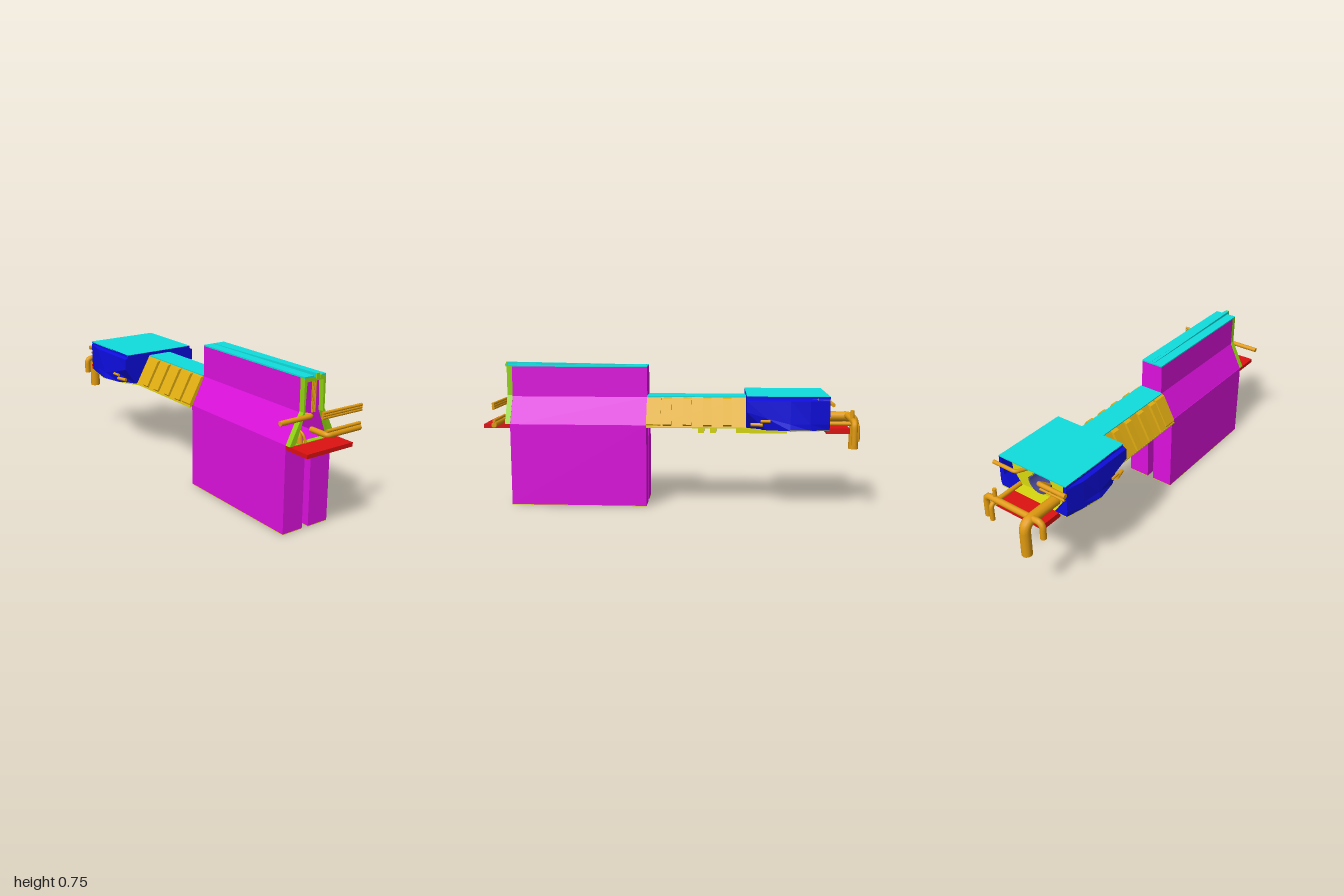
import * as THREE from 'three';

const CX = -0.021; // centre line of the hull
const mats = {};
const paint = (color) => (mats[color] ??= new THREE.MeshStandardMaterial({ color, side: THREE.DoubleSide }));
const MAGENTA = 0xdd11dd, CYAN = 0x11dddd, BLUE = 0x0d0ddd, ORANGE = 0xe09a10;
const GOLD = 0xe0ac12, RED = 0xdd1111, LIME = 0x93d411, YELLOW = 0xd8d80f, SLATE = 0x484898;

export function createModel() {
  const model = new THREE.Group();

  const add = (name, geometry, color) => {
    const mesh = new THREE.Mesh(geometry, paint(color));
    mesh.name = name;
    model.add(mesh);
    return mesh;
  };
  // Box given by its limits on each axis
  const box = (name, color, x0, x1, y0, y1, z0, z1) =>
    add(name, new THREE.BoxGeometry(x1 - x0, y1 - y0, z1 - z0), color)
      .position.set((x0 + x1) / 2, (y0 + y1) / 2, (z0 + z1) / 2);
  // Mirrors a half profile of [offset, y] points about the centre line
  const mirrored = (half) => [
    ...half.map(([x, y]) => new THREE.Vector2(CX + x, y)),
    ...half.slice().reverse().map(([x, y]) => new THREE.Vector2(CX - x, y)),
  ];
  const section = (half, hole) => {
    const shape = new THREE.Shape(mirrored(half));
    if (hole) shape.holes.push(hole);
    return shape;
  };
  const prism = (name, color, shape, z0, z1) =>
    add(name, new THREE.ExtrudeGeometry(shape, { depth: z1 - z0, bevelEnabled: false, curveSegments: 16 }), color)
      .position.set(0, 0, z0);
  const bore = () => new THREE.Path().absarc(CX, 0.51, 0.056, 0, Math.PI * 2, true);
  // Pipe through corner points, with a rounded bend at every corner and closed ends
  const pipe = (name, r, corners, bend = 0.03, color = ORANGE) => {
    const p = corners.map((c) => new THREE.Vector3(...c));
    const path = new THREE.CurvePath();
    let from = p[0];
    for (let i = 1; i < p.length - 1; i++) {
      const a = p[i].clone().add(p[i - 1].clone().sub(p[i]).setLength(bend));
      const b = p[i].clone().add(p[i + 1].clone().sub(p[i]).setLength(bend));
      path.add(new THREE.LineCurve3(from, a));
      path.add(new THREE.QuadraticBezierCurve3(a, p[i], b));
      from = b;
    }
    const last = p[p.length - 1];
    path.add(new THREE.LineCurve3(from, last));
    add(name, new THREE.TubeGeometry(path, p.length > 2 ? 40 : 1, r, 12), color);
    [[p[0], p[1]], [last, p[p.length - 2]]].forEach(([end, next]) => {
      const cap = add(name + 'End', new THREE.CircleGeometry(r, 12), color);
      cap.position.copy(end);
      cap.lookAt(end.clone().multiplyScalar(2).sub(next));
    });
  };

  // Twin deep walls with their soles
  [[-0.157, -0.04], [-0.003, 0.115]].forEach(([x0, x1]) => {
    box('wall', MAGENTA, x0, x1, 0.003, 0.435, 0.14, 0.86);
    box('wallSole', YELLOW, x0, x1, 0, 0.003, 0.14, 0.86);
  });
  box('wallBridge', MAGENTA, -0.045, 0.002, 0.415, 0.435, 0.14, 0.86);

  // Hollow sloping shoulder and tower above the walls
  const tunnel = new THREE.Path(mirrored([[0.1, 0.436], [0.055, 0.568]]).reverse());
  prism('tower', MAGENTA, section([[0.136, 0.43], [0.062, 0.575], [0.062, 0.733]], tunnel), 0.14, 0.86);

  // Front frame around the tunnel mouth
  const frame = section([
    [0.136, 0.435], [0.062, 0.58], [0.062, 0.735],
  ], new THREE.Path(mirrored([[0.103, 0.437], [0.054, 0.565], [0.047, 0.715]]).reverse()));
  prism('frontFrame', LIME, frame, 0.86, 0.888);

  // Tower roof and its long rails
  box('towerRoof', CYAN, CX - 0.062, CX + 0.062, 0.733, 0.74, 0.14, 0.888);
  [[-0.031, -0.013, 0.754], [-0.011, 0, 0.745]].forEach(([x0, x1, top]) => {
    const rail = new THREE.Shape();
    rail.moveTo(-0.9, top).lineTo(-0.15, 0.742).lineTo(-0.15, 0.735).lineTo(-0.9, 0.735);
    const geometry = new THREE.ExtrudeGeometry(rail, { depth: x1 - x0, bevelEnabled: false });
    geometry.rotateY(Math.PI / 2).scale(1, 1, 1).translate(x0, 0, 0);
    add('roofRail', geometry, CYAN);
    box('roofRailEnd', LIME, x0, x1, 0.73, top, 0.9, 0.906);
  });
  for (let i = 0; i < 4; i++) {
    const x = -0.025 + i * 0.007;
    pipe('frontCable', 0.003, [[x, 0.567, 0.875], [x, 0.735, 0.875]]);
  }

  // Front and rear steps
  box('frontStep', RED, -0.157, 0.115, 0.415, 0.435, 0.86, 1);
  box('rearStep', RED, -0.175, 0.132, 0.402, 0.43, -0.91, -0.79);

  // Ribbed neck with a round bore
  const neck = [[0.152, 0.43], [0.068, 0.577]];
  prism('neck', GOLD, section(neck, bore()), -0.39, 0.14);
  box('neckRoof', CYAN, CX - 0.068, CX + 0.068, 0.577, 0.582, -0.39, 0.14);
  for (const side of [-1, 1]) {
    const strip = (name, z0, z1, out) => {
      const s = new THREE.Shape([[0.148, 0.434], [0.15 + out, 0.444], [0.08 + out, 0.572], [0.066, 0.577]]
        .map(([x, y]) => new THREE.Vector2(CX + side * x, y)));
      prism(name, GOLD, s, z0, z1);
    };
    for (let i = 0; i < 4; i++) {
      const z = 0.03 - i * 0.104;
      strip('neckRib', z - 0.022, z + 0.022, 0.008);
      strip('neckRibCore', z - 0.012, z + 0.012, 0.003);
    }
    strip('neckCollar', 0.065, 0.14, 0.001);
  }
  // Lining along the lower half of the bore
  const lining = new THREE.Shape();
  lining.absarc(CX, 0.51, 0.064, Math.PI, Math.PI * 2, false);
  lining.absarc(CX, 0.51, 0.054, Math.PI * 2, Math.PI, true);
  prism('boreLining', SLATE, lining, -0.76, 0.17);

  // Rear housing: shell lofted through cross-sections, flaring at mid length
  const stations = [
    [-0.38, 0.222, 0.52, 0.158], [-0.48, 0.226, 0.49, 0.215],
    [-0.6, 0.23, 0.46, 0.239], [-0.7, 0.222, 0.46, 0.222], [-0.8, 0.206, 0.46, 0.2],
  ];
  const outline = ([, w, y, b]) => mirrored([[b, 0.428], [w, y], [Math.min(w, 0.222), 0.577], [0.204, 0.585], [0.204, 0.598]]);
  const points = [], faces = [], n = 10;
  stations.forEach((s) => outline(s).forEach((p) => points.push(p.x, p.y, s[0])));
  for (let i = 0; i < stations.length - 1; i++) {
    for (let j = 0; j < n - 1; j++) {
      const a = i * n + j, b = a + 1;
      faces.push(a, a + n, b, b, a + n, b + n);
    }
  }
  let shell = new THREE.BufferGeometry();
  shell.setAttribute('position', new THREE.Float32BufferAttribute(points, 3));
  shell.setIndex(faces);
  shell = shell.toNonIndexed();
  shell.computeVertexNormals();
  add('housingShell', shell, BLUE);
  const bulkhead = (name, color, z, s) => {
    const shape = new THREE.Shape(outline(s));
    shape.holes.push(bore());
    prism(name, color, shape, z - 0.004, z);
  };
  bulkhead('housingFront', BLUE, -0.38, stations[0]);
  bulkhead('housingBack', YELLOW, -0.735, stations[4]);
  box('housingRoof', CYAN, CX - 0.204, CX + 0.204, 0.594, 0.6, -0.8, -0.38);
  // Rear rim strips and inner gussets
  for (const side of [-1, 1]) {
    const rim = new THREE.Shape([[0.13, 0.43], [0.2, 0.43], [0.206, 0.46], [0.206, 0.577], [0.19, 0.59], [0.18, 0.5]]
      .map(([x, y]) => new THREE.Vector2(CX + side * x, y)));
    prism('rearRim', BLUE, rim, -0.8, -0.74);
    // Flank hatches
    const x = CX + side * 0.226;
    pipe('flankHandle', 0.009, [[x - side * 0.015, 0.456, -0.4], [x, 0.456, -0.46]]);
    pipe('flankHandle', 0.007, [[x, 0.475, -0.45], [x + side * 0.003, 0.475, -0.5]]);
  }

  // Belly plate, widening under the housing
  const belly = [[0.152, 0.14], [0.152, -0.36], [0.2, -0.45], [0.239, -0.6], [0.222, -0.7], [0.2, -0.8]];
  const plate = new THREE.ExtrudeGeometry(section(belly), { depth: 0.006, bevelEnabled: false });
  plate.rotateX(Math.PI / 2).translate(0, 0.431, 0);
  add('bellyPlate', plate, YELLOW);
  // Keel rail, box and studs
  box('keelRail', YELLOW, -0.04, 0, 0.41, 0.428, -0.77, 0.14);
  box('keelBox', YELLOW, -0.04, 0, 0.38, 0.412, -0.6, -0.33);
  [[-0.16, -0.128], [-0.225, -0.193]].forEach(([z0, z1]) => box('keelStud', YELLOW, -0.06, 0.018, 0.383, 0.412, z0, z1));

  // Front side pipes
  pipe('frontLeftPipe', 0.012, [[-0.228, 0.561, 0.9], [-0.042, 0.561, 0.9], [-0.055, 0.545, 0.8]], 0.02);
  [0.537, 0.549, 0.561].forEach((y) => pipe('frontRightRail', 0.007, [[0.26, y, 0.905], [0.02, y, 0.9]]));
  pipe('frontLowerPipe', 0.014, [[0.255, 0.452, 0.905], [0.05, 0.452, 0.905], [0.05, 0.452, 0.8]], 0.02);
  pipe('frontLowerRail', 0.008, [[0.255, 0.473, 0.905], [0.045, 0.473, 0.905]]);
  pipe('mouthPipe', 0.015, [[-0.092, 0.437, 0.88], [-0.092, 0.48, 0.87], [-0.075, 0.5, 0.72]], 0.02);
  pipe('mouthHose', 0.006, [[-0.065, 0.437, 0.89], [-0.075, 0.48, 0.88], [-0.08, 0.51, 0.8]], 0.02);

  // Rear pipework
  pipe('rearMainPipe', 0.027, [[-0.125, 0.458, -0.76], [-0.125, 0.458, -0.972], [-0.125, 0.28, -0.972]], 0.05);
  pipe('rearCrossPipe', 0.016, [[-0.195, 0.38, -0.93], [-0.195, 0.465, -0.93], [0.152, 0.465, -0.93], [0.152, 0.347, -0.93]], 0.03);
  pipe('rearThinPipe', 0.012, [[0.098, 0.45, -0.76], [0.098, 0.45, -0.955], [0.098, 0.36, -0.955]], 0.025);
  pipe('rearPost', 0.01, [[0.098, 0.43, -0.925], [0.098, 0.52, -0.925]]);
  pipe('rearLeftRail', 0.01, [[0.208, 0.56, -0.812], [0.07, 0.56, -0.812], [0.05, 0.55, -0.74]], 0.02);
  pipe('rearRightRail', 0.012, [[-0.235, 0.56, -0.815], [-0.07, 0.56, -0.815], [-0.07, 0.5, -0.74]], 0.02);
  pipe('rearRightThinRail', 0.006, [[-0.225, 0.53, -0.812], [-0.08, 0.53, -0.812]]);

  return model;
}
